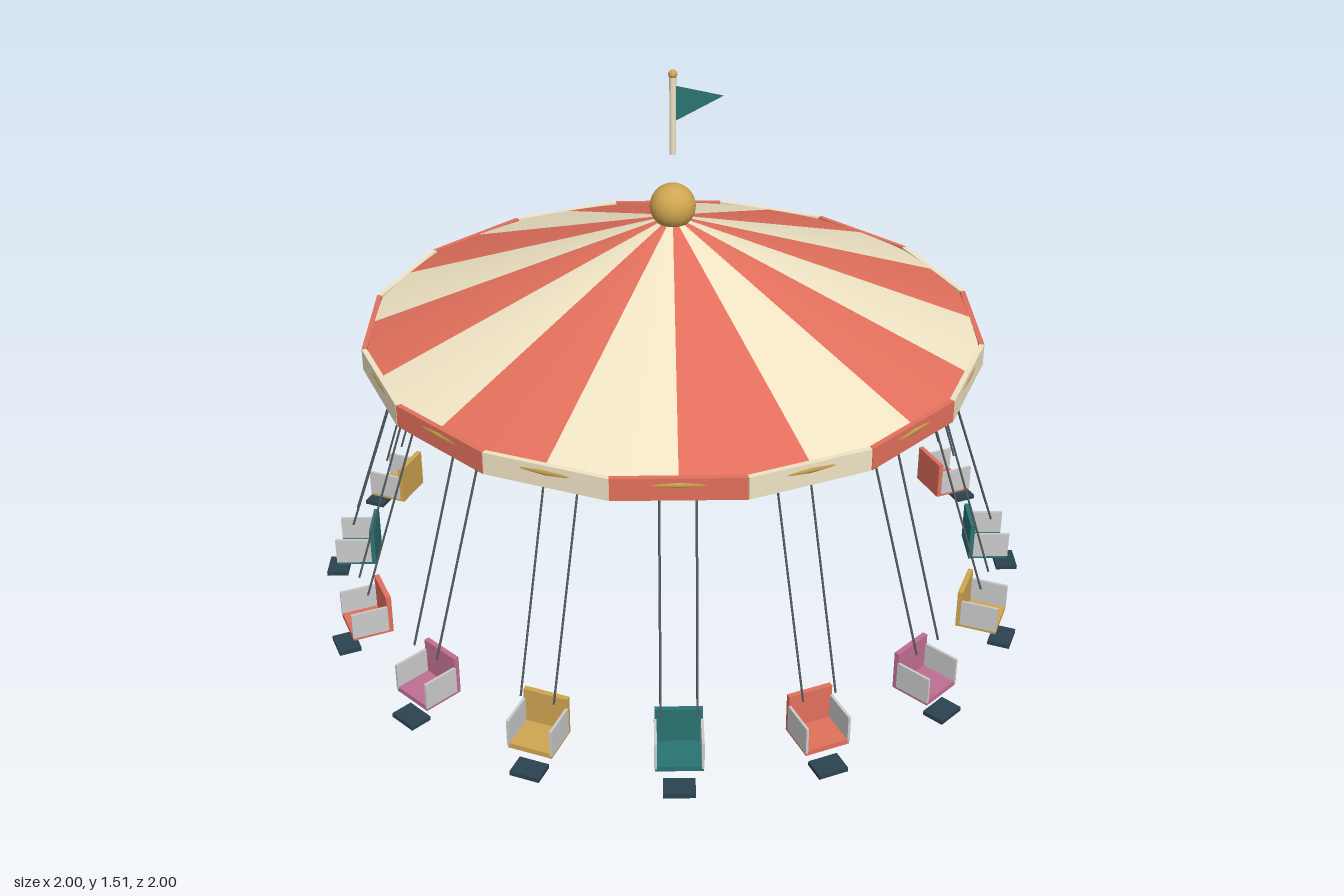
import * as THREE from 'three';

const mat = (color, extra = {}) => new THREE.MeshStandardMaterial({ color, ...extra });
const RED = mat(0xe2705c), CREAM = mat(0xf0e4c4), GOLD = mat(0xcfa550), TEAL = mat(0x2a7474);
const PINK = mat(0xc06f92), DARK = mat(0x2b4350), STEEL = mat(0x55595c), GREY = mat(0xcccccc);
const RED2 = mat(0xe2705c, { side: THREE.DoubleSide });
const CREAM2 = mat(0xf0e4c4, { side: THREE.DoubleSide });
const TEAL2 = mat(0x2a7474, { side: THREE.DoubleSide });

function add(parent, name, geometry, material, x = 0, y = 0, z = 0) {
  const mesh = new THREE.Mesh(geometry, material);
  mesh.name = name;
  mesh.position.set(x, y, z);
  parent.add(mesh);
  return mesh;
}

// A straight round rod between two points
function rod(parent, name, a, b, radius, material) {
  const dir = b.clone().sub(a);
  const mesh = add(parent, name, new THREE.CylinderGeometry(radius, radius, dir.length(), 8), material);
  mesh.position.copy(a).add(b).multiplyScalar(0.5);
  mesh.quaternion.setFromUnitVectors(new THREE.Vector3(0, 1, 0), dir.normalize());
  return mesh;
}

// One hanging chair, built along +z and facing outward
function makeSwing(material) {
  const g = new THREE.Group();
  g.name = 'swing';
  add(g, 'seat', new THREE.BoxGeometry(0.12, 0.014, 0.11), material, 0, 0.062, 0.908);
  add(g, 'seatBack', new THREE.BoxGeometry(0.12, 0.11, 0.014), material, 0, 0.11, 0.859);
  add(g, 'footrest', new THREE.BoxGeometry(0.08, 0.012, 0.06), DARK, 0, 0.008, 0.97);
  for (const s of [-1, 1]) {
    add(g, 'sidePanel', new THREE.BoxGeometry(0.007, 0.075, 0.1), GREY, s * 0.058, 0.1, 0.914);
    rod(g, 'chain', new THREE.Vector3(s * 0.045, 0.18, 0.91),
      new THREE.Vector3(s * 0.045, 0.78, 0.71), 0.003, STEEL);
  }
  return g;
}

export function createModel() {
  const model = new THREE.Group();
  model.name = 'swingCarousel';
  const step = Math.PI / 8;

  // Striped canopy, panelled rim and swings, sixteen of each
  const seatColours = [RED, PINK, GOLD, TEAL];
  for (let i = 0; i < 16; i++) {
    const a = i * step;
    add(model, 'canopyStripe',
      new THREE.CylinderGeometry(0.005, 0.822, 0.312, 6, 1, true, a, step),
      i % 2 ? RED2 : CREAM2, 0, 0.956, 0);

    const panel = add(model, 'rimPanel', new THREE.BoxGeometry(0.325, 0.06, 0.014),
      i % 2 ? RED : CREAM, 0.816 * Math.sin(a), 0.775, 0.816 * Math.cos(a));
    panel.rotation.y = a;

    const swing = makeSwing(seatColours[i % 4]);
    swing.rotation.y = a;
    model.add(swing);
  }
  const trim = add(model, 'rimTrim', new THREE.TorusGeometry(0.815, 0.011, 8, 96), GOLD, 0, 0.786, 0);
  trim.rotation.x = Math.PI / 2;

  // Hub and spokes under the canopy
  add(model, 'hub', new THREE.CylinderGeometry(0.21, 0.21, 0.11, 48), GOLD, 0, 0.77, 0);
  for (let i = 0; i < 8; i++) {
    const s = Math.sin(i * step * 2), c = Math.cos(i * step * 2);
    rod(model, 'spoke', new THREE.Vector3(s * 0.18, 0.775, c * 0.18),
      new THREE.Vector3(s * 0.81, 0.775, c * 0.81), 0.011, TEAL);
  }

  // Finial ball and the flagpole above it
  add(model, 'finial', new THREE.SphereGeometry(0.061, 32, 20), GOLD, 0, 1.14, 0);
  add(model, 'flagpole', new THREE.CylinderGeometry(0.009, 0.009, 0.215, 12), CREAM, 0, 1.393, 0);
  add(model, 'poleCap', new THREE.SphereGeometry(0.012, 12, 8), GOLD, 0, 1.503, 0);
  const flag = new THREE.Shape([
    new THREE.Vector2(0.005, 1.375), new THREE.Vector2(0.145, 1.425), new THREE.Vector2(0.005, 1.472)]);
  add(model, 'flag', new THREE.ShapeGeometry(flag), TEAL2);

  return model;
}
